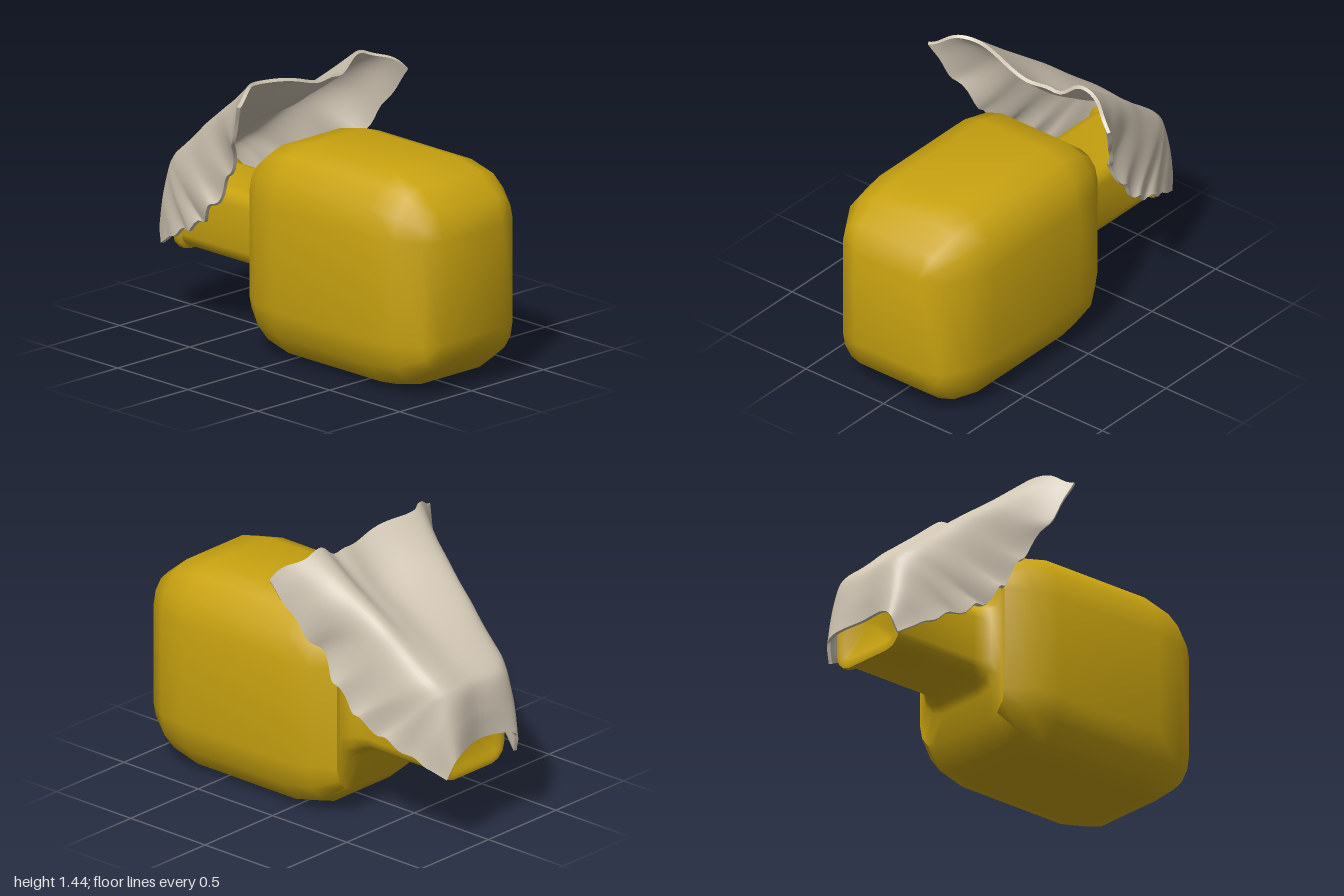
import * as THREE from 'three';
import { mergeVertices, toCreasedNormals } from 'three/addons/utils/BufferGeometryUtils.js';

// Skin a list of closed rings (arrays of Vector3 of equal length)
function loft(rings) {
  const n = rings[0].length, pos = [], idx = [];
  rings.forEach(r => r.forEach(p => pos.push(p.x, p.y, p.z)));
  for (let i = 0; i < rings.length - 1; i++) {
    for (let j = 0; j < n; j++) {
      const a = i * n + j, b = i * n + (j + 1) % n;
      idx.push(a, a + n, b, b, a + n, b + n);
    }
  }
  const g = new THREE.BufferGeometry();
  g.setAttribute('position', new THREE.Float32BufferAttribute(pos, 3));
  g.setIndex(idx);
  return g;
}

// Rounded rectangle ring: core half sizes plus corner radii
function section(z, hw, hh, rx, ry, cy) {
  const pts = [];
  for (let q = 0; q < 4; q++) {
    const sx = q === 0 || q === 3 ? 1 : -1, sy = q < 2 ? 1 : -1;
    for (let k = 0; k <= 3; k++) {
      const a = (q + k / 3) * Math.PI / 2;
      pts.push(new THREE.Vector3(0.015 + sx * hw + rx * Math.cos(a), cy + sy * hh + ry * Math.sin(a), z));
    }
  }
  return pts;
}

// Block with big soft corners that narrows into a short neck with a lip
function blockGeometry() {
  const rings = [section(1, 0, 0, 0, 0, 0.55)];
  const body = (z, r) => rings.push(section(z, 0.205, 0.27, 0.22 * r, 0.28 * r, 0.55));
  for (let k = 0; k <= 3; k++) {
    const a = k * Math.PI / 6;
    body(0.66 + 0.34 * Math.cos(a), Math.sin(a));
  }
  for (let k = 0; k <= 2; k++) {
    const a = k * Math.PI / 6;
    body(-0.323 * Math.sin(a), Math.cos(a));
  }
  const neck = [[-0.28, 0.08], [-0.31, 0.04], [-0.345, 0.012], [-0.39, 0], [-0.87, 0],
    [-0.88, 0.022], [-0.91, 0.022], [-0.915, -0.01], [-0.9, -0.03]];
  neck.forEach(([z, d]) => rings.push(section(z, 0.14, 0.115, 0.07 + d, 0.07 + d, 0.555)));
  rings.push(section(-0.9, 0, 0, 0, 0, 0.555));
  return toCreasedNormals(mergeVertices(loft(rings)), 0.9);
}

// Draped sheet: each row gives centre (y, z), shoulder (x, y, z) and side edge (x, y, z)
const DRAPE = [
  [1.375, -0.12, 0.38, 1.44, -0.16, 0.59, 1.35, -0.065],
  [1.22, -0.30, 0.34, 1.28, -0.36, 0.52, 1.13, -0.17],
  [1.09, -0.53, 0.30, 1.12, -0.57, 0.43, 0.93, -0.28],
  [0.96, -0.74, 0.27, 0.97, -0.74, 0.43, 0.74, -0.41],
  [0.87, -0.87, 0.25, 0.86, -0.87, 0.40, 0.61, -0.54],
  [0.82, -0.92, 0.23, 0.80, -0.92, 0.36, 0.53, -0.70],
  [0.69, -0.95, 0.23, 0.65, -0.96, 0.31, 0.45, -0.85],
  [0.54, -0.955, 0.22, 0.50, -0.99, 0.26, 0.39, -0.955],
];

function clothGeometry() {
  const nu = 56, nv = 48, thick = 0.018;
  const V = (x, y, z) => new THREE.Vector3(x, y, z);
  const rows = DRAPE.map(([cy, cz, sx, sy, sz, ex, ey, ez]) => new THREE.CatmullRomCurve3([
    V(ex, ey, ez), V(sx, sy, sz), V(0.01, cy, cz), V(-sx, sy, sz), V(-ex, ey, ez)]));
  const sheet = new THREE.PlaneGeometry(1, 1, nu, nv), pos = sheet.attributes.position;
  for (let i = 0; i <= nu; i++) {
    const u = i / nu, side = 1 - 2 * u, edge = Math.abs(side);
    const column = new THREE.CatmullRomCurve3(rows.map(r => r.getPoint(u)));
    for (let j = 0; j <= nv; j++) {
      const v = j / nv, p = column.getPoint(v), top = (1 - v) ** 3;
      // folds running down the sheet, a dip and tilt in the top hem
      const fold = 0.012 * Math.sin(u * 24 + v * 3) * (1 - v);
      p.y += fold - 0.05 * top * Math.exp(-(((p.x - 0.21) / 0.07) ** 2)) - 0.03 * top * edge ** 4 * Math.sign(side);
      p.z += fold * 0.6;
      // crumpled, ragged side edges
      const crumple = Math.sin(Math.PI * Math.min(1, v * 1.1)) * edge ** 4;
      p.x += 0.014 * crumple * Math.sin(v * 38 + u * 9) * Math.sign(side);
      p.y += 0.022 * crumple * Math.sin(v * 47 + side);
      pos.setXYZ(j * (nu + 1) + i, p.x, p.y, p.z);
    }
  }
  sheet.computeVertexNormals();
  // Outer face, inner face offset along the normals, hems pinched shut
  const rings = [];
  for (let j = 0; j <= nv; j++) {
    const outer = [], inner = [];
    for (let i = 0; i <= nu; i++) {
      const k = j * (nu + 1) + i, p = V().fromBufferAttribute(pos, k);
      outer.push(p);
      inner.unshift(p.clone().addScaledVector(V().fromBufferAttribute(sheet.attributes.normal, k), -thick));
    }
    rings.push([...outer, ...inner]);
  }
  const pinch = ring => ring.map((p, i) => p.clone().lerp(ring[ring.length - 1 - i], 0.5));
  return toCreasedNormals(loft([pinch(rings[0]), ...rings, pinch(rings[nv])]), 1);
}

export function createModel() {
  const group = new THREE.Group();
  const add = (name, geometry, color, side) => {
    const mesh = new THREE.Mesh(geometry, new THREE.MeshStandardMaterial({ color, side }));
    mesh.name = name;
    group.add(mesh);
  };
  add('blockWithNeck', blockGeometry(), 0xc9a310, THREE.FrontSide);
  add('drapedCloth', clothGeometry(), 0xcfc4b2, THREE.DoubleSide);
  return group;
}
